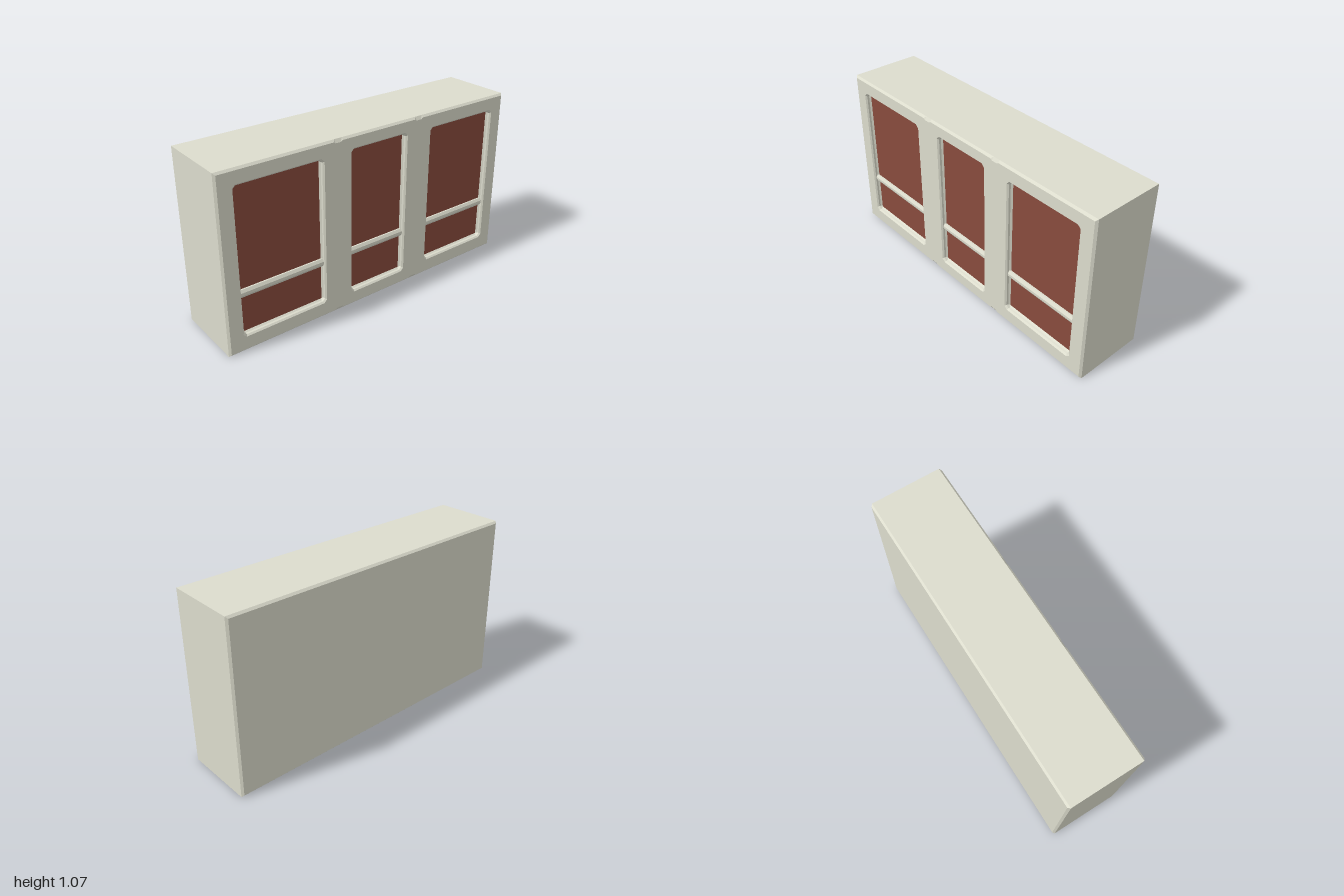
import * as THREE from 'three';

const W = 1, H = 1.07, D = 0.23, C = 0.012; // half width, height, half depth, edge chamfer
const cream = new THREE.MeshStandardMaterial({ color: 0xdcdccd, flatShading: true });
const red = new THREE.MeshStandardMaterial({ color: 0x884b3d, flatShading: true });

// Join successive closed loops (counter-clockwise from +z) with flat quads
function skin(loops) {
  const pos = [];
  for (let k = 0; k + 1 < loops.length; k++) {
    const { pts: a, z: za } = loops[k], { pts: b, z: zb } = loops[k + 1];
    for (let i = 0; i < a.length; i++) {
      const j = (i + 1) % a.length;
      pos.push(...a[i], za, ...a[j], za, ...b[j], zb, ...a[i], za, ...b[j], zb, ...b[i], zb);
    }
  }
  const g = new THREE.BufferGeometry();
  g.setAttribute('position', new THREE.Float32BufferAttribute(pos, 3));
  g.computeVertexNormals();
  return g;
}

const toVectors = pts => pts.map(p => new THREE.Vector2(...p));

// Outer block outline; the notch widens the chamfer at four spots
const notchX = [-0.27, 0.3], notchOffsets = [-0.03, -0.018, 0.018, 0.03];
function blockLoop(inset, notch) {
  const x = W - inset, lo = inset, hi = H - inset;
  const run = notchX.flatMap(c => notchOffsets.map((o, i) => [c + o, i === 1 || i === 2 ? notch : 0]));
  return [
    [-x, lo], ...run.map(([px, n]) => [px, lo + n]), [x, lo],
    [x, hi], ...run.reverse().map(([px, n]) => [px, hi - n]), [-x, hi],
  ];
}

// Rectangle with cut corners
function windowLoop({ x0, x1, y0, y1 }, inset, cut) {
  const l = x0 + inset, r = x1 - inset, b = y0 + inset, t = y1 - inset;
  return [[l + cut, b], [r - cut, b], [r, b + cut], [r, t - cut],
    [r - cut, t], [l + cut, t], [l, t - cut], [l, b + cut]];
}

export function createModel() {
  const model = new THREE.Group();
  model.name = 'windowBlock';
  const add = (parent, name, geometry, material = cream) => {
    const mesh = new THREE.Mesh(geometry, material);
    mesh.name = name;
    parent.add(mesh);
    return mesh;
  };

  const windows = [
    { name: 'rightWindow', x0: -0.91, x1: -0.36, y0: 0.09, y1: 0.985 },
    { name: 'middleWindow', x0: -0.185, x1: 0.22, y0: 0.083, y1: 0.995 },
    { name: 'leftWindow', x0: 0.395, x1: 0.91, y0: 0.09, y1: 0.985 },
  ];

  // Chamfered block
  const frontLoop = blockLoop(C, 0.008);
  add(model, 'blockSides', skin([
    { pts: blockLoop(C, 0), z: -D }, { pts: blockLoop(0, 0), z: -D + C },
    { pts: blockLoop(0, 0), z: D - C }, { pts: frontLoop, z: D },
  ]));
  const back = new THREE.PlaneGeometry(2 * (W - C), H - 2 * C);
  add(model, 'blockBack', back.rotateY(Math.PI).translate(0, H / 2, -D));

  // Front wall with three openings
  const wall = new THREE.Shape(toVectors(frontLoop));
  wall.holes = windows.map(w => new THREE.Path(toVectors(windowLoop(w, 0, 0.02))));
  add(model, 'frontWall', new THREE.ShapeGeometry(wall).translate(0, 0, D));

  for (const w of windows) {
    const group = new THREE.Group();
    group.name = w.name;
    model.add(group);

    // Stepped reveal down to the pane
    add(group, 'windowFrame', skin([
      { pts: windowLoop(w, 0, 0.02), z: D },
      { pts: windowLoop(w, 0.009, 0.016), z: D - 0.009 },
      { pts: windowLoop(w, 0.011, 0.014), z: D - 0.02 },
      { pts: windowLoop(w, 0.019, 0.002), z: D - 0.03 },
    ]));
    const pane = new THREE.Shape(toVectors(windowLoop(w, 0.019, 0.002)));
    add(group, 'windowPane', new THREE.ShapeGeometry(pane).translate(0, 0, D - 0.03), red);

    // Cross bar with a bevelled profile, extruded along x
    const profile = new THREE.Shape(toVectors([
      [0, -0.024], [0.009, -0.024], [0.019, -0.008], [0.019, 0.008], [0.009, 0.024], [0, 0.024],
    ]));
    const length = w.x1 - w.x0 - 0.022;
    const bar = new THREE.ExtrudeGeometry(profile, { depth: length, bevelEnabled: false });
    bar.rotateY(-Math.PI / 2).translate(w.x1 - 0.011, 0.35, D - 0.03);
    add(group, 'crossBar', bar);
  }
  return model;
}
